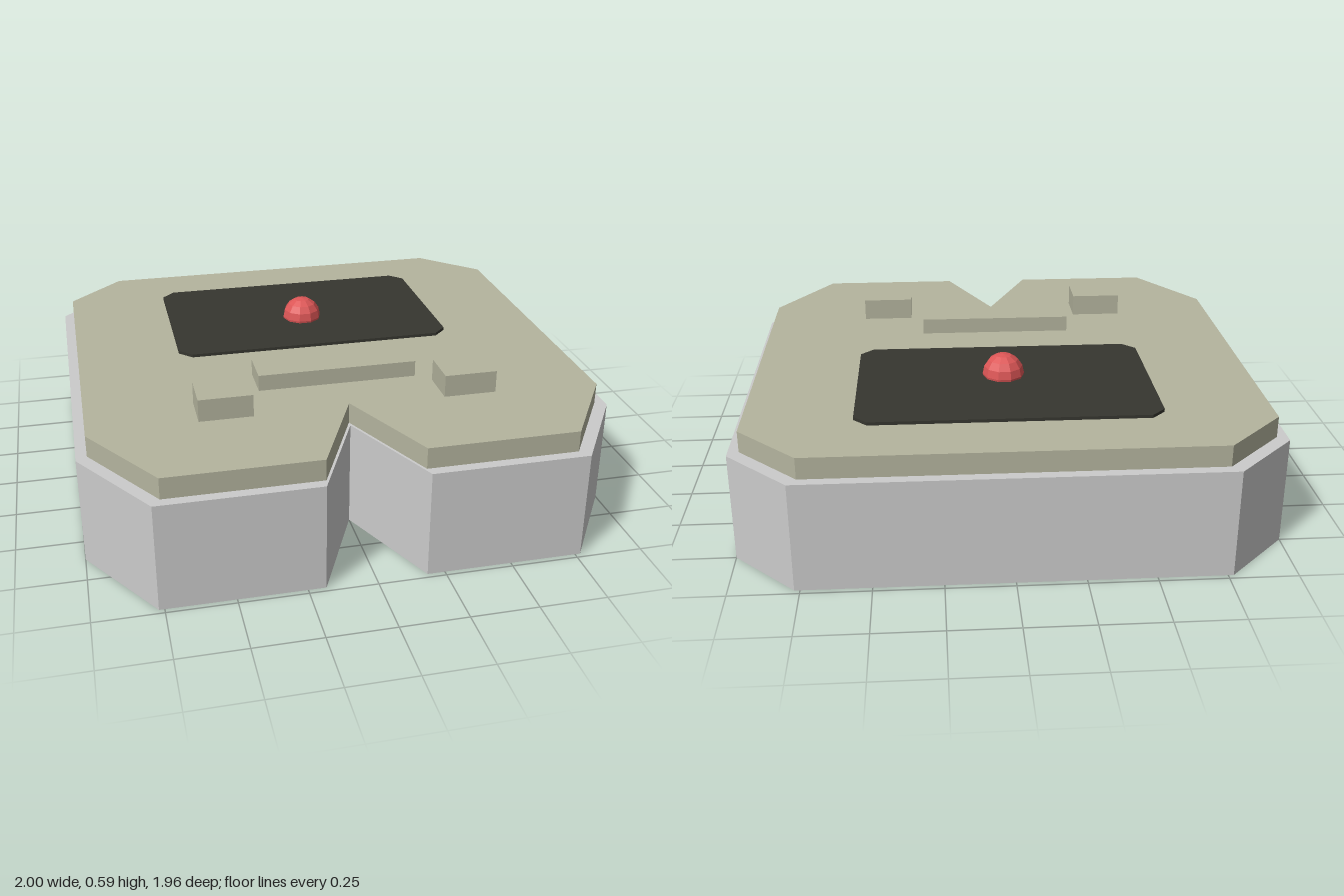
import * as THREE from 'three';

const material = (color) => new THREE.MeshStandardMaterial({ color, flatShading: true });

// Half outlines are [x, z] points on the left side, back to front; the right side is mirrored.
function slab(name, half, bottom, top, mat) {
  const mirrored = half.filter(([x]) => x > 0).reverse().map(([x, z]) => [-x, z]);
  const outline = [...half, ...mirrored].map(([x, z]) => new THREE.Vector2(x, -z));
  const geometry = new THREE.ExtrudeGeometry(new THREE.Shape(outline), {
    depth: top - bottom,
    bevelEnabled: false,
  });
  geometry.rotateX(-Math.PI / 2).translate(0, bottom, 0);
  const mesh = new THREE.Mesh(geometry, mat);
  mesh.name = name;
  return mesh;
}

export function createModel() {
  const model = new THREE.Group();
  model.name = 'notchedConsole';

  const grey = material(0xcccccc);
  const olive = material(0xb4b49e);
  const dark = material(0x36362f);
  const red = material(0xdc5656);

  // Chamfered body with a V notch in the front edge
  const body = [[0.77, -0.98], [1, -0.75], [1, 0.62], [0.77, 0.98], [0.185, 0.98], [0, 0.57]];
  model.add(slab('body', body, 0, 0.41, grey));

  // Slightly smaller deck of the same outline
  const deck = body.map(([x, z]) => [x * 0.96, z * 0.96]);
  model.add(slab('deck', deck, 0.41, 0.49, olive));

  // Thin dark panel with clipped corners
  const panel = [[0.51, -0.7], [0.56, -0.65], [0.56, -0.04], [0.51, 0.01]];
  model.add(slab('panel', panel, 0.485, 0.502, dark));

  // Ball sunk halfway into the panel
  const ball = new THREE.Mesh(new THREE.SphereGeometry(0.08, 10, 8), red);
  ball.name = 'ball';
  ball.position.set(0, 0.51, -0.29);
  model.add(ball);

  // Raised bar and one button on either side of the notch
  const block = (name, width, height, x, z) => {
    const mesh = new THREE.Mesh(new THREE.BoxGeometry(width, height, 0.153), olive);
    mesh.name = name;
    mesh.position.set(x, 0.49 + height / 2, z);
    model.add(mesh);
  };
  block('bar', 0.612, 0.062, 0, 0.295);
  block('leftButton', 0.2, 0.085, 0.46, 0.497);
  block('rightButton', 0.2, 0.085, -0.46, 0.497);

  return model;
}
